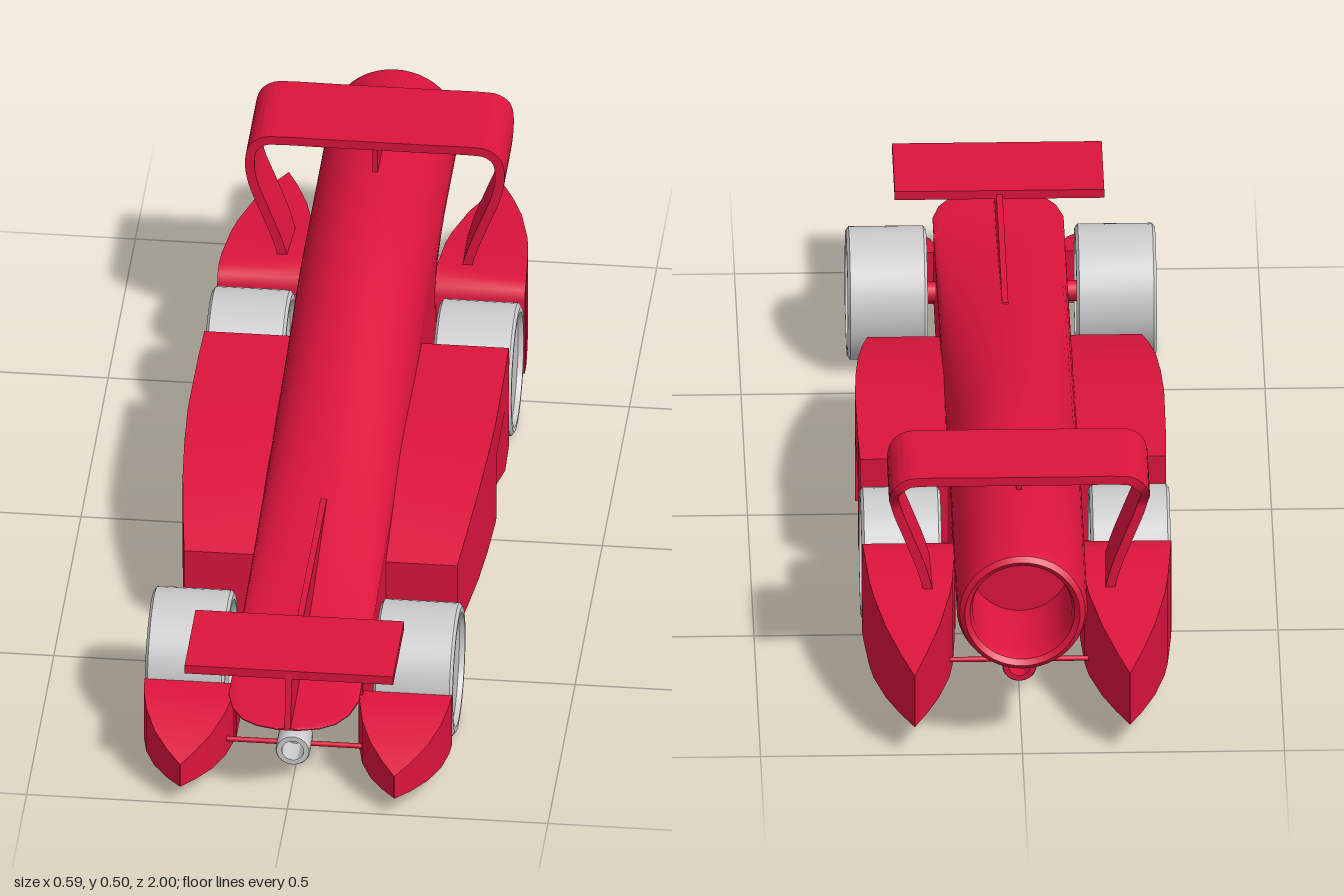
import * as THREE from 'three';
import { toCreasedNormals } from 'three/addons/utils/BufferGeometryUtils.js';

const red = new THREE.MeshStandardMaterial({ color: 0xdc143c });
const grey = new THREE.MeshStandardMaterial({ color: 0xcccccc });

// Skin over closed cross-sections of equal point count, capped at both ends
function loft(rings, crease = 0.6) {
  const n = rings[0].length, pos = rings.flat(2), idx = [];
  for (let r = 0; r < rings.length - 1; r++) {
    for (let i = 0; i < n; i++) {
      const a = r * n + i, b = r * n + (i + 1) % n;
      idx.push(a, b, b + n, a, b + n, a + n);
    }
  }
  const last = (rings.length - 1) * n;
  for (let i = 1; i < n - 1; i++) idx.push(0, i + 1, i, last, last + i, last + i + 1);
  // Signed volume tells whether the corners run the right way
  const v = (k) => new THREE.Vector3().fromArray(pos, k * 3);
  let volume = 0;
  for (let i = 0; i < idx.length; i += 3) volume += v(idx[i]).dot(v(idx[i + 1]).cross(v(idx[i + 2])));
  if (volume < 0) idx.reverse();
  const g = new THREE.BufferGeometry();
  g.setAttribute('position', new THREE.Float32BufferAttribute(pos, 3));
  g.setIndex(idx);
  return toCreasedNormals(g.toNonIndexed(), crease);
}

export function createModel() {
  const model = new THREE.Group();
  const add = (name, geometry, material = red, x = 0, y = 0, z = 0) => {
    const m = new THREE.Mesh(geometry, material);
    m.name = name;
    m.position.set(x, y, z);
    model.add(m);
    return m;
  };
  const rod = (r, length, axis) => {
    const g = new THREE.CylinderGeometry(r, r, length, 16);
    return axis === 'x' ? g.rotateZ(Math.PI / 2) : axis === 'z' ? g.rotateX(Math.PI / 2) : g;
  };

  // Body: domed top, flat belly that turns into a round tail pipe
  // [z, half width, top height, roundness of belly, base height]
  const sections = [
    [0.995, 0.02, 0.178, 0], [0.985, 0.06, 0.179, 0], [0.965, 0.09, 0.18, 0], [0.93, 0.112, 0.181, 0],
    [0.88, 0.125, 0.183, 0], [0.8, 0.125, 0.187, 0], [0.6, 0.125, 0.22, 0], [0.3, 0.125, 0.283, 0],
    [0, 0.125, 0.348, 0], [-0.2, 0.125, 0.39, 0], [-0.32, 0.125, 0.411, 0], [-0.42, 0.125, 0.422, 0],
    [-0.52, 0.125, 0.425, 0], [-0.6, 0.125, 0.425, 0.3], [-0.7, 0.125, 0.425, 0.8], [-0.78, 0.125, 0.425, 1],
    [-0.975, 0.125, 0.425, 1], [-0.992, 0.12, 0.42, 1, 0.179], [-1, 0.11, 0.41, 1, 0.189],
    [-0.992, 0.1, 0.4, 1, 0.199], [-0.975, 0.095, 0.395, 1, 0.204], [-0.8, 0.095, 0.395, 1, 0.204],
  ];
  add('body', loft(sections.map(([z, w, top, round, base = 0.174]) => {
    const dome = Math.min(w, (top - base) * 0.6), yc = top - dome, ring = [];
    for (let i = 0; i < 48; i++) {
      const t = i / 48 * Math.PI * 2, c = Math.cos(t), s = Math.sin(t);
      const k = s >= 0 ? 1 : THREE.MathUtils.lerp(1 / Math.max(Math.abs(c), Math.abs(s)), 1, round);
      ring.push([w * c * k, yc + s * k * (s >= 0 ? dome : yc - base), z]);
    }
    return ring;
  })));

  // Front wing on a central fin
  add('frontWing', new THREE.BoxGeometry(0.4, 0.018, 0.2), red, 0, 0.283, 0.87);
  const finShape = new THREE.Shape([[-0.995, 0.175], [-0.97, 0.285], [-0.33, 0.28], [-0.3, 0.2]]
    .map(p => new THREE.Vector2(...p)));
  const fin = new THREE.ExtrudeGeometry(finShape, { depth: 0.012, bevelEnabled: false });
  add('noseFin', fin.translate(0, 0, -0.006).rotateY(Math.PI / 2));

  // Guide tubes with posts and cross rods, one under each end
  for (const [name, z] of [['front', 0.87], ['rear', -0.74]]) {
    const tube = [[0.021, -0.03], [0.031, -0.03], [0.033, -0.027], [0.033, 0.027], [0.031, 0.03], [0.021, 0.03], [0.021, -0.03]];
    const g = new THREE.LatheGeometry(tube.map(p => new THREE.Vector2(...p)), 32).rotateX(Math.PI / 2);
    add(name + 'GuideTube', toCreasedNormals(g, 0.6), name === 'front' ? grey : red, 0, 0.069, z);
    add(name + 'GuidePost', rod(0.006, 0.09, 'y'), red, 0, 0.143, z);
    for (const s of [-1, 1]) add(name + 'GuideRod', rod(0.005, 0.13, 'x'), red, s * 0.09, 0.069, z);
  }

  // Rear wing: one bent strip, wider across the top than along its legs
  const half = [[0.17, 0.2], [0.186, 0.26], [0.212, 0.33], [0.234, 0.39], [0.24, 0.435],
    [0.233, 0.467], [0.213, 0.483], [0.19, 0.486], [0.1, 0.486]];
  const path = new THREE.CatmullRomCurve3([...half, ...half.slice().reverse().map(([x, y]) => [-x, y])]
    .map(([x, y]) => new THREE.Vector3(x, y, 0)));
  const strip = [];
  for (let i = 0; i <= 80; i++) {
    const p = path.getPoint(i / 80), t = path.getTangent(i / 80);
    const nx = -t.y * 0.009, ny = t.x * 0.009;
    const back = -0.73 - 0.08 * THREE.MathUtils.smoothstep(p.y, 0.39, 0.475);
    strip.push([[p.x + nx, p.y + ny, -0.61], [p.x - nx, p.y - ny, -0.61],
      [p.x - nx, p.y - ny, back], [p.x + nx, p.y + ny, back]]);
  }
  add('rearWing', loft(strip));
  add('rearWingPost', new THREE.BoxGeometry(0.01, 0.08, 0.11), red, 0, 0.445, -0.67);

  // Box-like sections: [z, bottom, top, inner x, outer x]
  const boxes = (list, s) => loft(list.map(([z, y0, y1, xi, xo]) =>
    [[s * xi, y0, z], [s * xo, y0, z], [s * xo, y1, z], [s * xi, y1, z]]));
  const frontFender = [[0.795, 0.037, 0.147, 0.12, 0.295], [0.83, 0.037, 0.146, 0.121, 0.293],
    [0.88, 0.037, 0.134, 0.131, 0.283], [0.93, 0.037, 0.117, 0.152, 0.262],
    [0.97, 0.037, 0.101, 0.179, 0.234], [1, 0.037, 0.087, 0.205, 0.206]];
  const rearFender = [[-0.54, 0.037, 0.2, 0.12, 0.295], [-0.548, 0.037, 0.218, 0.12, 0.295],
    [-0.565, 0.037, 0.229, 0.12, 0.295], [-0.6, 0.037, 0.232, 0.12, 0.293], [-0.7, 0.037, 0.22, 0.126, 0.285],
    [-0.75, 0.037, 0.213, 0.133, 0.278], [-0.85, 0.046, 0.198, 0.155, 0.257],
    [-0.93, 0.053, 0.184, 0.18, 0.232], [-1, 0.06, 0.17, 0.205, 0.206]];
  // Side pod: [z, top, outer x, depth of the lower recess]
  const pod = [[0.385, 0.18, 0.262, 0], [0.3, 0.208, 0.273, 0], [0.2, 0.234, 0.284, 0], [0.1, 0.25, 0.291, 0],
    [0, 0.258, 0.295, 0], [-0.018, 0.259, 0.295, 0], [-0.02, 0.259, 0.295, 0.04],
    [-0.19, 0.26, 0.294, 0], [-0.275, 0.26, 0.292, 0]];
  // Wheel turned about its axle, with a raised rim around each sunk disc
  const wheelProfile = [[0, -0.066], [0.108, -0.066], [0.11, -0.0765], [0.12, -0.0765], [0.1275, -0.071],
    [0.1275, 0.071], [0.12, 0.0765], [0.11, 0.0765], [0.108, 0.066], [0, 0.066]];
  const wheel = toCreasedNormals(new THREE.LatheGeometry(
    wheelProfile.map(p => new THREE.Vector2(...p)), 48).rotateZ(Math.PI / 2), 0.5);

  for (const s of [1, -1]) {
    const side = s > 0 ? 'left' : 'right';
    add(side + 'FrontFender', boxes(frontFender, s));
    add(side + 'RearFender', boxes(rearFender, s));
    add(side + 'SidePod', loft(pod.map(([z, top, x, cut]) =>
      [[0.115, 0.037], [x - cut, 0.037], [x - cut, 0.175], [x, 0.175], [x, top], [0.115, top]]
        .map(([px, py]) => [s * px, py, z]))));
    // Skirt running the length of the belly channel
    add(side + 'Skirt', new THREE.BoxGeometry(0.008, 0.145, 1.36), red, s * 0.121, 0.1095, 0.13);
    for (const [name, z] of [['Front', 0.67], ['Rear', -0.41]]) {
      add(side + name + 'Wheel', wheel, grey, s * 0.2185, 0.1275, z);
      add(side + name + 'Axle', rod(0.02, 0.045, 'x'), red, s * 0.135, 0.1275, z);
    }
  }
  return model;
}
